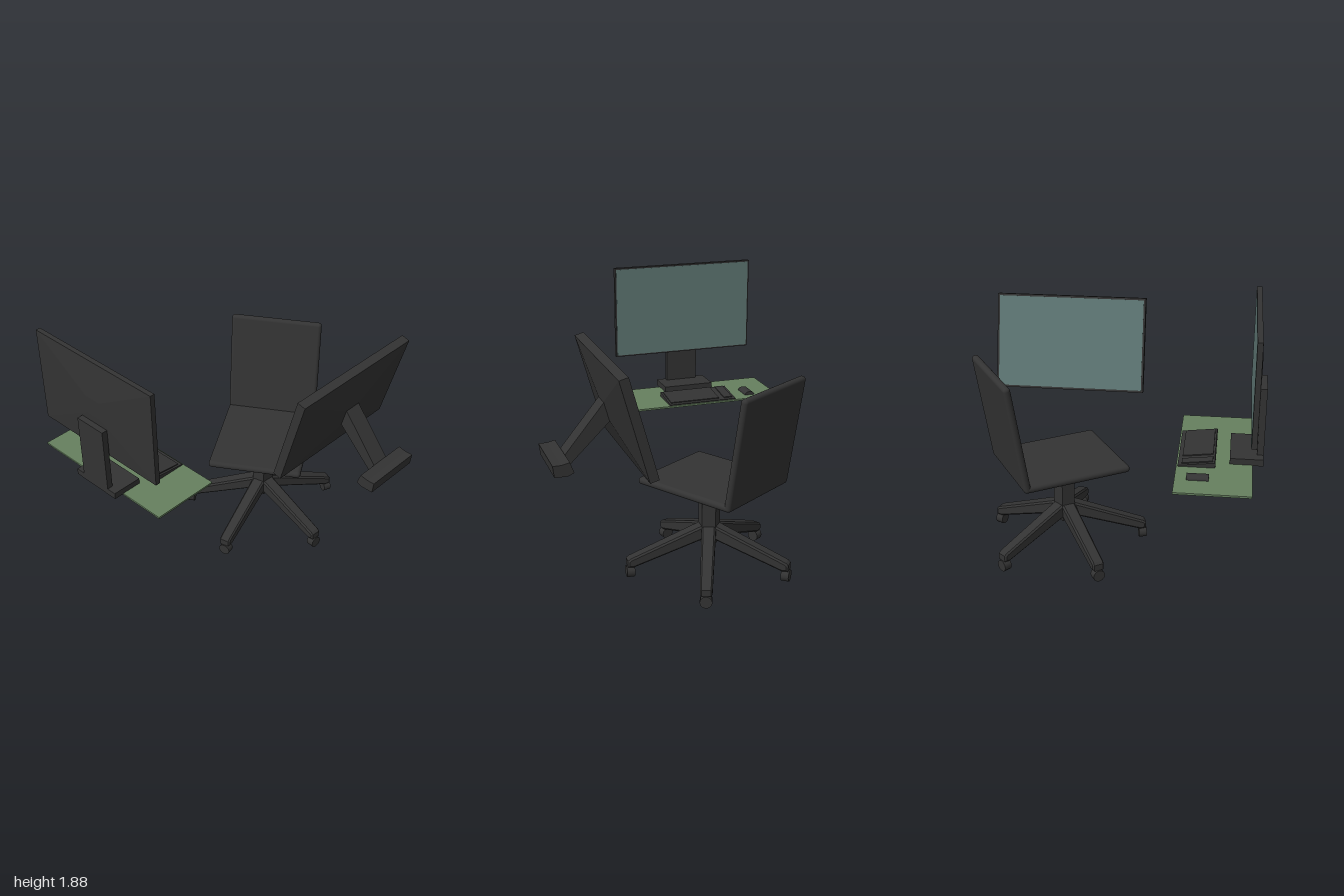
import * as THREE from 'three';
import { RoundedBoxGeometry } from 'three/addons/geometries/RoundedBoxGeometry.js';

const material = (color) => new THREE.MeshStandardMaterial({ color });
const dark = material(0x333333);
const glass = material(0x5f7875);
const green = material(0x66805f);
const rad = THREE.MathUtils.degToRad;

function add(parent, name, geometry, mat, x = 0, y = 0, z = 0) {
  const mesh = new THREE.Mesh(geometry, mat);
  mesh.name = name;
  mesh.position.set(x, y, z);
  parent.add(mesh);
  return mesh;
}

function group(parent, name, x = 0, y = 0, z = 0) {
  const g = new THREE.Group();
  g.name = name;
  g.position.set(x, y, z);
  parent.add(g);
  return g;
}

const box = (w, h, d) => new THREE.BoxGeometry(w, h, d);

// Side profile extruded along z, centred, with an optional inward bevel
function prism(points, depth, bevel = 0) {
  const shape = new THREE.Shape(points.map(([x, y]) => new THREE.Vector2(x, y)));
  const g = new THREE.ExtrudeGeometry(shape, {
    depth: depth - 2 * bevel, bevelEnabled: bevel > 0, bevelThickness: bevel,
    bevelSize: bevel, bevelOffset: -bevel, bevelSegments: 1,
  });
  return g.translate(0, 0, bevel - depth / 2);
}

// Shallow pyramid pointing to -z, cut off at a small plate
function frustum(w, h, d, endW, endH) {
  const g = box(w, h, d);
  const p = g.attributes.position;
  for (let i = 0; i < p.count; i++) {
    if (p.getZ(i) < 0) p.setXY(i, Math.sign(p.getX(i)) * endW / 2, Math.sign(p.getY(i)) * endH / 2);
  }
  g.computeVertexNormals();
  return g.translate(0, 0, -d / 2);
}

// Screen faces local +z; the origin is the middle of the front face
function display(parent, name, w, h, thick, bulge, border) {
  const g = group(parent, name);
  add(g, 'displayCasing', box(w, h, thick), dark, 0, 0, -thick / 2);
  add(g, 'displayBack', frustum(w, h, bulge, 0.13, 0.13), dark, 0, 0, -thick);
  add(g, 'screen', box(w - border, h - border, 0.004), glass);
  return g;
}

function buildChair(parent) {
  const chair = group(parent, 'chair', 0.37, 0, -0.135);

  // Seat and leaning backrest, turned on the column
  const upper = group(chair, 'chairSeatAndBack', 0.025, 0, -0.015);
  upper.rotation.y = rad(31.7);
  add(upper, 'seat', new RoundedBoxGeometry(0.775, 0.05, 0.67, 4, 0.024), dark, 0, 0.665, 0);
  const back = group(upper, 'backrestPivot', 0.36, 0.645, 0);
  back.rotation.z = rad(-8.7);
  add(back, 'backrest', new RoundedBoxGeometry(0.05, 0.785, 0.67, 4, 0.024), dark, 0, 0.3925, 0);

  // Five-sided column with one leg on each face
  const turn = rad(-4);
  add(chair, 'column', new THREE.CylinderGeometry(0.079, 0.079, 0.435, 5, 1, false, turn - Math.PI / 5)
    .toNonIndexed(), dark, 0, 0.4275, 0).geometry.computeVertexNormals();

  const legGeometry = prism([
    [0, 0.335], [0.065, 0.335], [0.565, 0.145], [0.582, 0.13],
    [0.582, 0.085], [0.54, 0.08], [0.06, 0.235], [0, 0.21],
  ], 0.1, 0.012);
  const p = legGeometry.attributes.position;
  for (let i = 0; i < p.count; i++) p.setZ(i, p.getZ(i) * (1 - 0.3 * p.getX(i)));
  legGeometry.computeVertexNormals();
  legGeometry.rotateY(-Math.PI / 2);

  const wheel = new THREE.CylinderGeometry(0.042, 0.042, 0.055, 12).rotateX(Math.PI / 2);
  const stem = new THREE.CylinderGeometry(0.018, 0.018, 0.05, 8);
  for (let i = 0; i < 5; i++) {
    const leg = group(chair, 'legWithCaster');
    leg.rotation.y = turn + (i * 2 * Math.PI) / 5;
    add(leg, 'leg', legGeometry, dark);
    add(leg, 'casterStem', stem, dark, 0, 0.08, 0.555);
    add(leg, 'casterWheel', wheel, dark, 0, 0.042, 0.56);
  }
}

function buildTiltedMonitor(parent) {
  const monitor = group(parent, 'tiltedMonitor', 0.417, 0, 0);
  const panel = display(monitor, 'tiltedDisplay', 1.09, 0.69, 0.0625, 0.045, 0.03);
  panel.position.set(0, 1.297, 0.5025);
  panel.rotation.set(rad(-15.5), Math.PI, 0, 'YXZ');

  // Slanted neck and foot, profiles run along z
  const neck = [[0.62, 1.33], [0.56, 1.27], [0.575, 1.21], [0.855, 0.935], [0.885, 1.005]];
  const foot = [[0.995, 1.0], [0.94, 1.0], [0.885, 1.012], [0.858, 0.94], [0.9, 0.922], [0.985, 0.922]];
  add(monitor, 'tiltedMonitorNeck', prism(neck, 0.13), dark).rotation.y = -Math.PI / 2;
  add(monitor, 'tiltedMonitorFoot', prism(foot, 0.425), dark).rotation.y = -Math.PI / 2;
}

function buildUprightMonitor(parent) {
  const monitor = group(parent, 'uprightMonitor', 0, 0, -0.385);
  const panel = display(monitor, 'uprightDisplay', 1.075, 0.68, 0.034, 0.018, 0.02);
  panel.position.set(-0.91, 1.545, 0);
  panel.rotation.y = Math.PI / 2;
  add(monitor, 'uprightMonitorColumn', box(0.042, 0.505, 0.24), dark, -0.979, 1.1725, -0.005);
  add(monitor, 'uprightMonitorFoot', box(0.215, 0.045, 0.38), dark, -0.8925, 0.9425, -0.005);
}

function buildDeskItems(parent) {
  add(parent, 'deskMat', box(0.485, 0.013, 1.145), green, -0.6875, 0.918, -0.4275);

  // Wedge keyboard with two raised key blocks
  const keyboard = group(parent, 'keyboard', -0.575, 0, -0.39);
  add(keyboard, 'keyboardBody', prism([
    [-0.12, 0.925], [0.12, 0.925], [0.12, 0.932], [-0.115, 0.96], [-0.12, 0.955],
  ], 0.52), dark);
  for (const [depth, z] of [[0.38, 0.055], [0.065, -0.208]]) {
    const keys = add(keyboard, 'keyBlock', box(0.2, 0.014, depth), dark, -0.005, 0.947, z);
    keys.rotation.z = -Math.atan2(0.028, 0.235);
  }

  // Domed mouse
  const dome = new THREE.Shape();
  dome.moveTo(-0.038, 0);
  dome.lineTo(0.038, 0);
  dome.bezierCurveTo(0.036, 0.034, -0.036, 0.034, -0.038, 0);
  const mouse = new THREE.ExtrudeGeometry(dome, { depth: 0.14, bevelEnabled: false, curveSegments: 10 });
  mouse.translate(0, 0, -0.07).rotateY(-Math.PI / 2);
  add(parent, 'mouse', mouse, dark, -0.59, 0.9245, -0.793);
}

export function createModel() {
  const model = new THREE.Group();
  model.name = 'officeWorkstation';
  buildChair(model);
  buildTiltedMonitor(model);
  buildUprightMonitor(model);
  buildDeskItems(model);
  return model;
}
